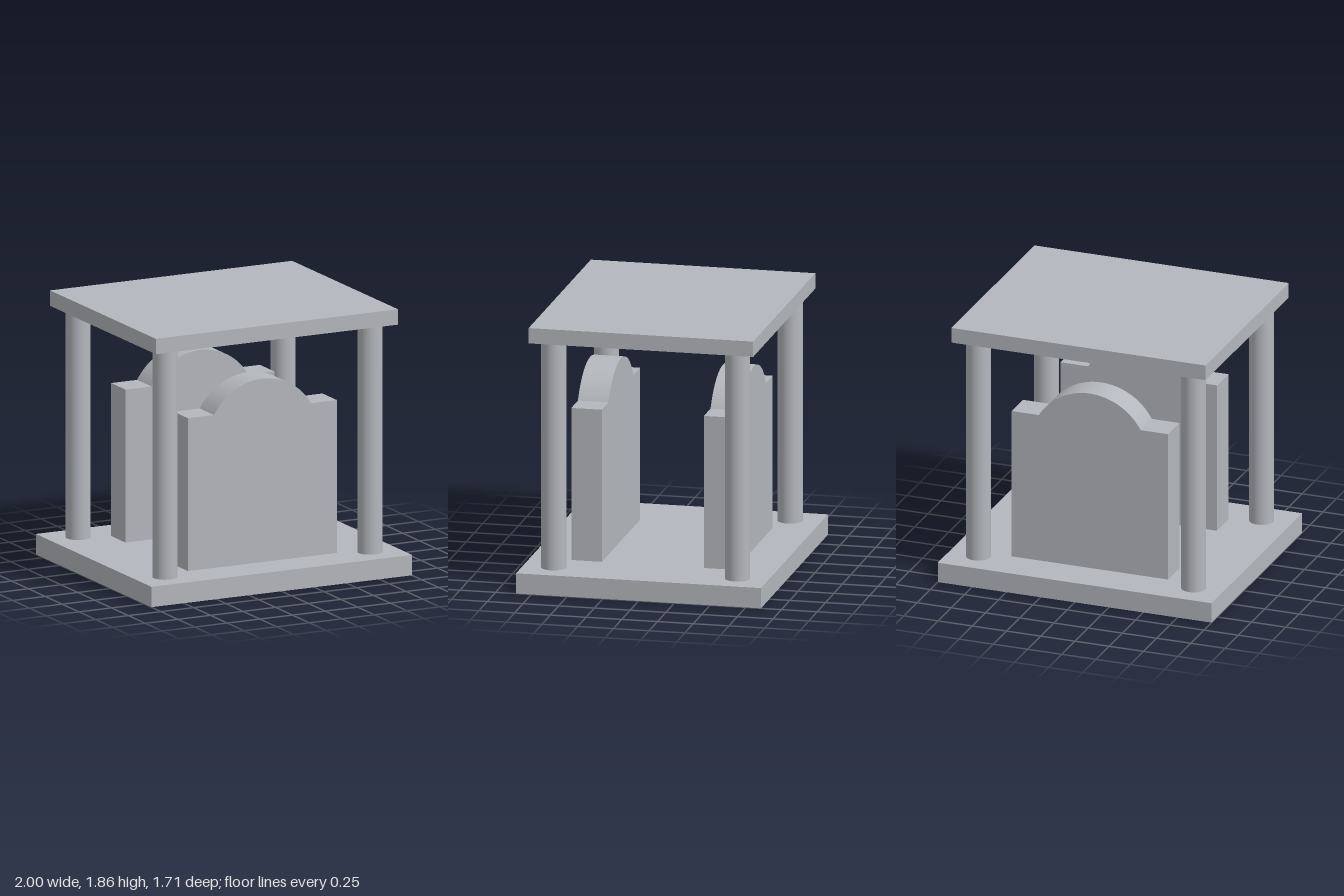
import * as THREE from 'three';
import { toCreasedNormals } from 'three/addons/utils/BufferGeometryUtils.js';

const BASE_TOP = 0.143;
const ROOF_BOTTOM = 1.75;

export function createModel() {
  const model = new THREE.Group();
  model.name = 'pavilion';
  const stone = new THREE.MeshStandardMaterial({ color: 0xb4b7bd });
  stone.name = 'grey stone';

  const add = (name, geometry, x, y, z) => {
    const mesh = new THREE.Mesh(geometry, stone);
    mesh.name = name;
    mesh.position.set(x, y, z);
    model.add(mesh);
  };

  // Base and flat roof
  add('base', new THREE.BoxGeometry(2, BASE_TOP, 1.714), 0, BASE_TOP / 2, 0);
  add('roof', new THREE.BoxGeometry(1.857, 0.108, 1.571), 0, ROOF_BOTTOM + 0.054, 0);

  // Four corner columns
  const height = ROOF_BOTTOM - BASE_TOP;
  const column = new THREE.CylinderGeometry(0.0857, 0.0857, height, 48);
  for (const sx of [-1, 1]) {
    for (const sz of [-1, 1]) {
      const name = (sz > 0 ? 'front' : 'back') + (sx > 0 ? 'Left' : 'Right') + 'Column';
      add(name, column, sx * 0.786, BASE_TOP + height / 2, sz * 0.643);
    }
  }

  // Upright slabs with square shoulders and an arched top
  const halfWidth = 0.571, shoulder = 1.215, arcCentre = 1.0, arcRadius = 0.429;
  const startAngle = Math.asin((shoulder - arcCentre) / arcRadius);
  const outline = new THREE.Shape();
  outline.moveTo(-halfWidth, BASE_TOP);
  outline.lineTo(halfWidth, BASE_TOP);
  outline.lineTo(halfWidth, shoulder);
  outline.absarc(0, arcCentre, arcRadius, startAngle, Math.PI - startAngle, false);
  outline.lineTo(-halfWidth, shoulder);
  outline.closePath();
  const depth = 0.214;
  const slab = toCreasedNormals(
    new THREE.ExtrudeGeometry(outline, { depth, bevelEnabled: false, curveSegments: 40 }), 0.5);
  slab.translate(0, 0, -depth / 2);
  add('frontSlab', slab, 0, 0, 0.464);
  add('backSlab', slab, 0, 0, -0.464);

  return model;
}
